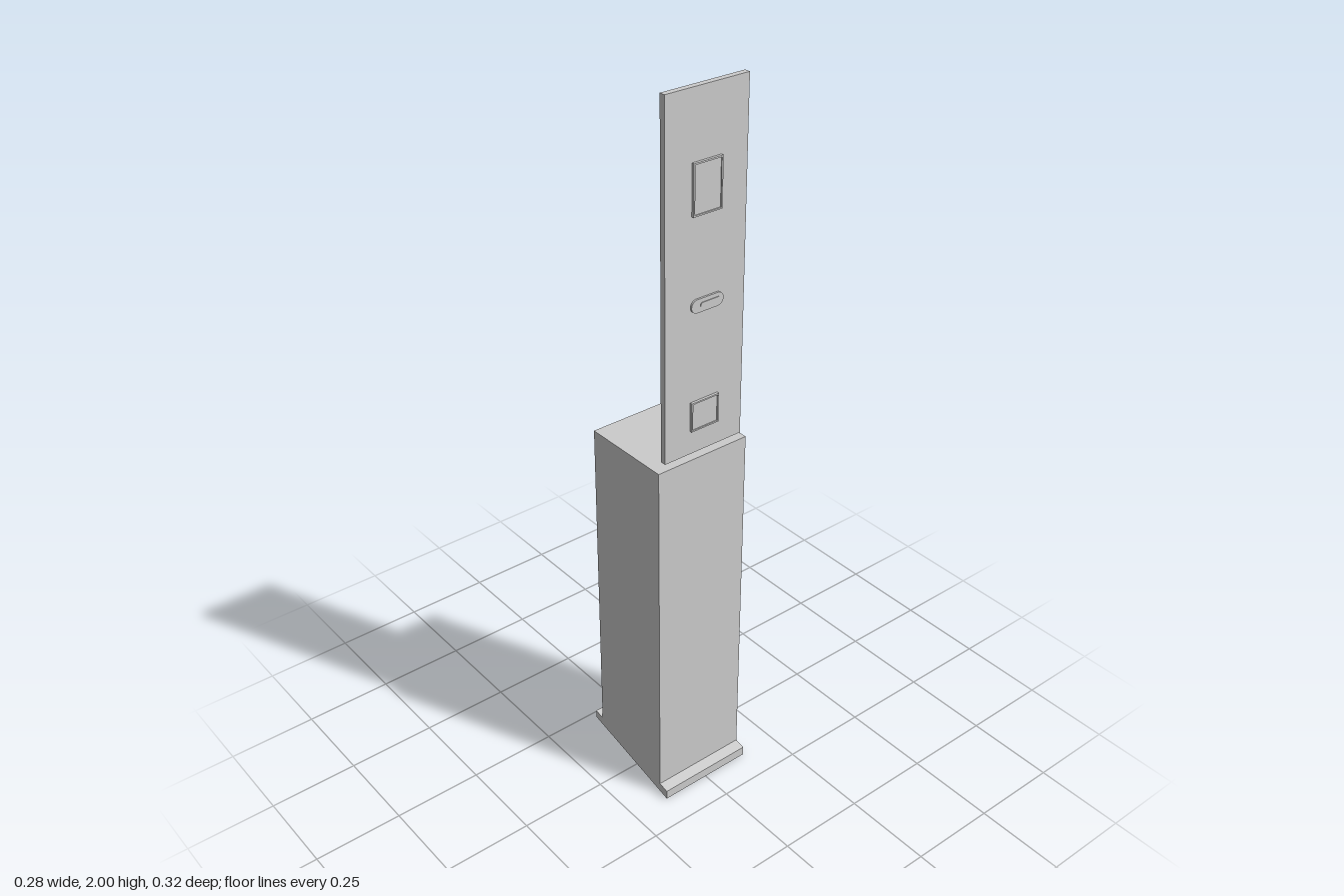
import * as THREE from 'three';

const grey = new THREE.MeshStandardMaterial({ color: 0xcccccc, flatShading: true });

function add(parent, name, geometry, x = 0, y = 0, z = 0) {
  const mesh = new THREE.Mesh(geometry, grey);
  mesh.name = name;
  mesh.position.set(x, y, z);
  parent.add(mesh);
  return mesh;
}

// Side profile of [z, y] points, extruded across x and centred
function sideExtrude(points, width) {
  const shape = new THREE.Shape(points.map(([z, y]) => new THREE.Vector2(-z, y)));
  return new THREE.ExtrudeGeometry(shape, { depth: width, bevelEnabled: false })
    .translate(0, 0, -width / 2)
    .rotateY(Math.PI / 2);
}

// Horizontal capsule outline
function capsule(width, height) {
  const r = height / 2, h = width / 2 - r;
  const s = new THREE.Shape();
  s.absarc(h, 0, r, -Math.PI / 2, Math.PI / 2, false);
  s.absarc(-h, 0, r, Math.PI / 2, Math.PI * 1.5, false);
  s.closePath();
  return s;
}

function rect(width, height, Type = THREE.Shape) {
  const w = width / 2, h = height / 2;
  return new Type([[-w, -h], [w, -h], [w, h], [-w, h]].map(p => new THREE.Vector2(...p)));
}

const plate = (shape, depth) =>
  new THREE.ExtrudeGeometry(shape, { depth, bevelEnabled: false, curveSegments: 12 });

export function createModel() {
  const model = new THREE.Group();
  model.name = 'cabinet';

  const W = 0.28, wall = 0.017, top = 1.055;
  const front = 0.13, back = -0.132, inner = 0.055;
  const slope = z => (0.16 - z) * 0.234;   // underside height at z
  const lip = 0.027;

  // Sloping base plate with lips at front and back
  add(model, 'base', sideExtrude([
    [0.16, slope(0.16)], [-0.162, slope(-0.162)],
    [-0.162, slope(-0.162) + lip - 0.003], [0.16, lip],
  ], W));

  // Body: open at the back, flat floor over the sloping base
  const body = new THREE.Group();
  body.name = 'body';
  model.add(body);
  const yFront = slope(front) + 0.02, yBack = slope(back) + 0.02;
  add(body, 'shell', sideExtrude([
    [front, yFront], [back, yBack], [back, 0.108], [inner, 0.108],
    [inner, top - wall], [back, top - wall], [back, top], [front, top],
  ], W - 2 * wall));
  for (const side of [-1, 1]) {
    add(body, 'sideWall', sideExtrude([
      [front, yFront], [back, yBack], [back, top], [front, top],
    ], wall), side * (W - wall) / 2);
  }

  // Hinge pins on the opening
  for (const y of [0.235, 0.835]) {
    add(model, 'hinge', new THREE.CylinderGeometry(0.0035, 0.0035, 0.107, 12), 0.117, y, -0.1345);
  }

  // Door panel, set apart above the body
  const door = new THREE.Group();
  door.name = 'door';
  model.add(door);
  add(door, 'panel', new THREE.BoxGeometry(0.24, 0.925, 0.016), 0, 1.5375, 0.122);

  // Framed plates on the door
  for (const [y, h] of [[1.765, 0.128], [1.18, 0.08]]) {
    const frame = rect(0.085, h);
    frame.holes.push(rect(0.077, h - 0.008, THREE.Path));
    add(door, 'plateFrame', plate(frame, 0.007), 0, y, 0.13);
    add(door, 'plate', plate(rect(0.077, h - 0.008), 0.004), 0, y, 0.13);
  }

  // Handle with a raised lever
  add(door, 'handlePlate', plate(capsule(0.097, 0.035), 0.005), 0.004, 1.475, 0.13);
  add(door, 'lever', plate(capsule(0.06, 0.014), 0.002), 0.012, 1.475, 0.135);

  return model;
}
